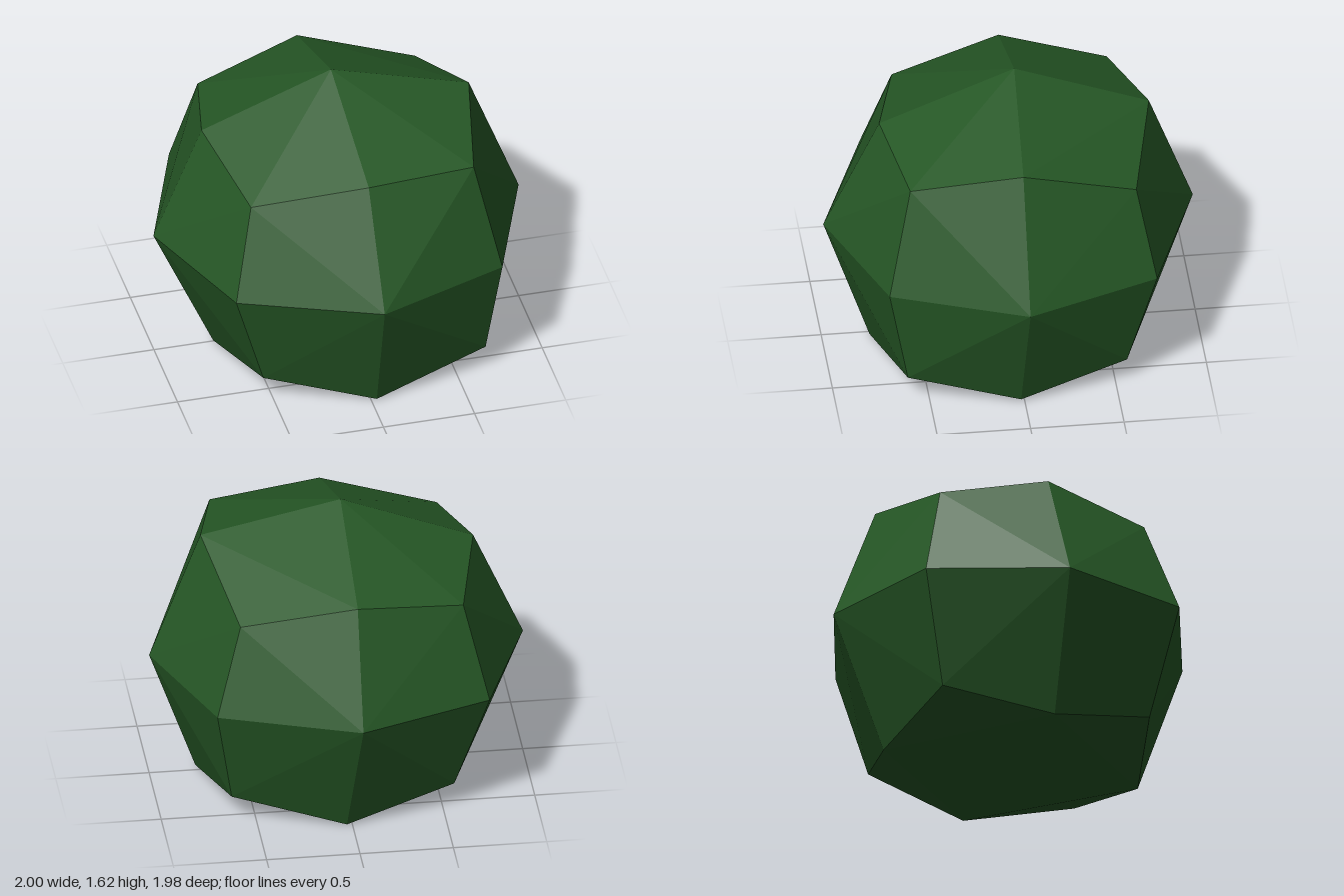
import * as THREE from 'three';
import { ConvexGeometry } from 'three/addons/geometries/ConvexGeometry.js';

// Faceted bush: a rounded cube with two slightly uneven segments per side.
const faceCentres = [
  [1, 0.72, 0], [-1, 0.73, -0.01],
  [-0.02, 1.62, -0.035], [0.03, 0, 0.02],
  [0.01, 0.72, 0.99], [-0.02, 0.73, -0.99],
];
const edgeMiddles = [
  // top ring
  [0, 1.34, 0.69], [-0.02, 1.355, -0.755], [0.725, 1.433, 0.005], [-0.73, 1.35, -0.035],
  // upright edges
  [0.725, 0.72, 0.72], [0.725, 0.72, -0.71], [-0.73, 0.73, 0.705], [-0.73, 0.73, -0.725],
  // bottom ring
  [0.03, 0.005, 0.745], [0.03, 0.005, -0.69], [0.75, 0.018, 0.02], [-0.68, 0.018, 0.02],
];
const corners = [
  [0.6, 1.305, 0.595], [-0.61, 1.225, 0.55], [0.59, 1.21, -0.615], [-0.605, 1.25, -0.6],
  [0.66, 0.145, 0.615], [-0.555, 0.145, 0.6], [0.63, 0.145, -0.56], [-0.56, 0.145, -0.57],
];

export function createModel() {
  const leafGreen = new THREE.MeshStandardMaterial({ color: 0x265826, flatShading: true });
  leafGreen.name = 'leafGreen';

  const points = [...faceCentres, ...edgeMiddles, ...corners].map((p) => new THREE.Vector3(...p));
  const foliage = new THREE.Mesh(new ConvexGeometry(points), leafGreen);
  foliage.name = 'foliage';

  const group = new THREE.Group();
  group.name = 'bush';
  group.add(foliage);
  return group;
}
